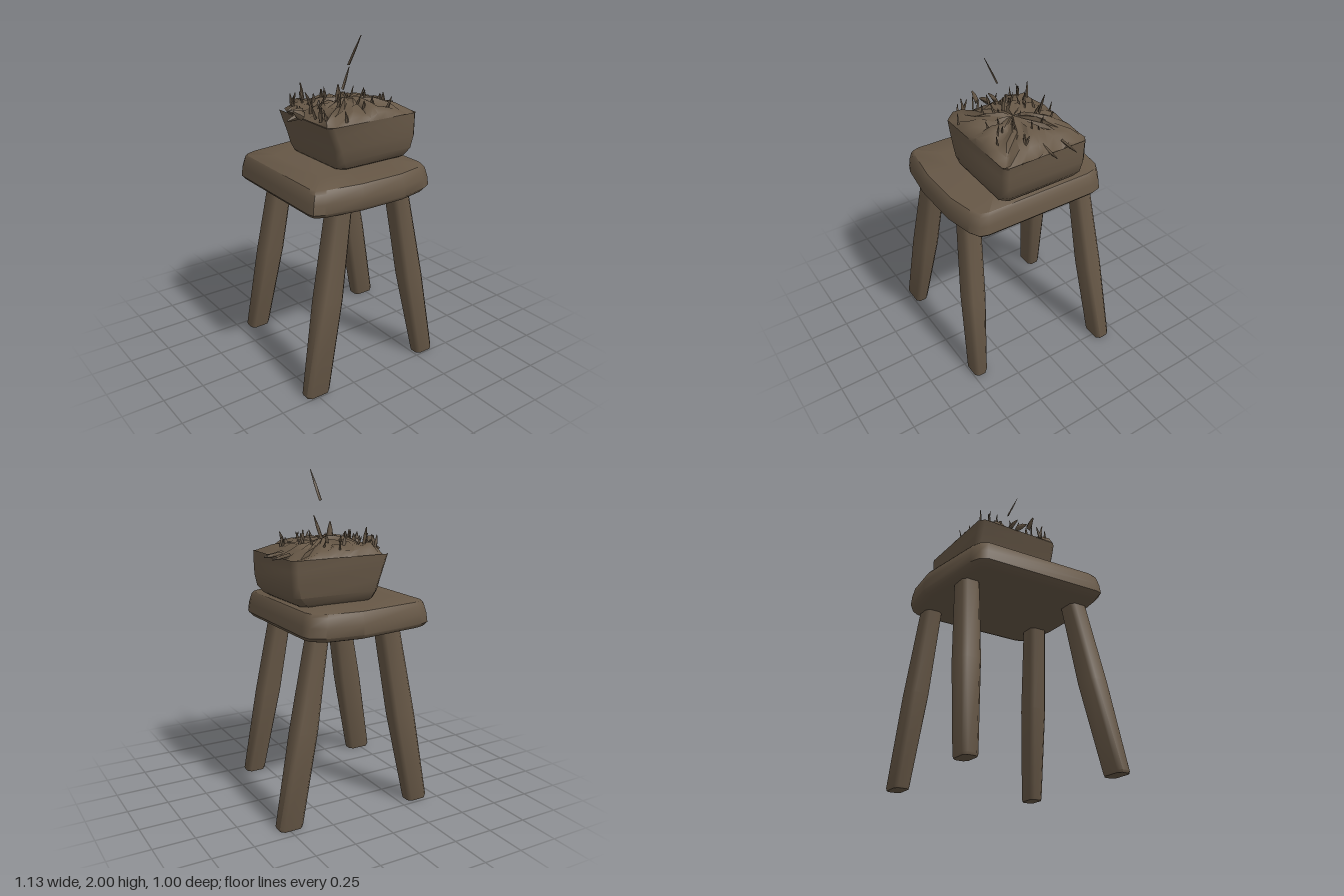
import * as THREE from 'three';
import { mergeVertices, toCreasedNormals } from 'three/addons/utils/BufferGeometryUtils.js';

const wood = new THREE.MeshStandardMaterial({ color: 0x665746 });
wood.name = 'weathered brown';

// Small seeded generator for the rough details
function seeded(seed) {
  return () => {
    seed = (seed * 16807) % 2147483647;
    return seed / 2147483647;
  };
}

// Closed skin through rings of equal length; rings run clockwise seen from above
function loft(rings, crease) {
  const pos = [];
  const same = (p, q) => p.every((v, i) => Math.abs(v - q[i]) < 1e-6);
  const tri = (a, b, c) => {
    if (!same(a, b) && !same(b, c) && !same(a, c)) pos.push(...a, ...b, ...c);
  };
  for (let r = 0; r < rings.length - 1; r++) {
    const lo = rings[r], hi = rings[r + 1], n = lo.length;
    for (let i = 0; i < n; i++) {
      const j = (i + 1) % n;
      tri(lo[i], hi[i], lo[j]);
      tri(lo[j], hi[i], hi[j]);
    }
  }
  const g = new THREE.BufferGeometry();
  g.setAttribute('position', new THREE.Float32BufferAttribute(pos, 3));
  return toCreasedNormals(mergeVertices(g), crease);
}

// Scale an [x, z] outline about a centre and lift it to height y
const ringAt = (outline, y, sx, sz = sx, cx = 0, cz = 0) =>
  outline.map(([x, z]) => [cx + (x - cx) * sx, y, cz + (z - cz) * sz]);

// Split every outline edge into pieces no longer than step
function subdivide(outline, step) {
  const out = [];
  outline.forEach(([x, z], i) => {
    const [x2, z2] = outline[(i + 1) % outline.length];
    const n = Math.ceil(Math.hypot(x2 - x, z2 - z) / step);
    for (let k = 0; k < n; k++) out.push([x + (x2 - x) * k / n, z + (z2 - z) * k / n]);
  });
  return out;
}

// Rectangle with cut corners
function chamfered(x0, x1, z0, z1, c) {
  return [
    [x0, z0 + c], [x0 + c, z0], [x1 - c, z0], [x1, z0 + c],
    [x1, z1 - c], [x1 - c, z1], [x0 + c, z1], [x0, z1 - c],
  ];
}

// Thin pointed shard from base to tip
function shard(name, base, tip, width) {
  const a = new THREE.Vector3(...base), b = new THREE.Vector3(...tip);
  const dir = b.clone().sub(a), len = dir.length();
  const g = new THREE.CylinderGeometry(width * 0.15, width * 0.6, len, 4, 2);
  const p = g.attributes.position;
  for (let i = 0; i < p.count; i++) {
    const mid = Math.abs(p.getY(i)) < 1e-4 ? 1.5 : 1;
    p.setXYZ(i, p.getX(i) * mid, p.getY(i), p.getZ(i) * mid * 0.5);
  }
  g.computeVertexNormals();
  const m = new THREE.Mesh(g, wood);
  m.name = name;
  m.position.copy(a).add(b).multiplyScalar(0.5);
  m.quaternion.setFromUnitVectors(new THREE.Vector3(0, 1, 0), dir.normalize());
  return m;
}

export function createModel() {
  const model = new THREE.Group();
  model.name = 'stool with planter';
  const add = (name, geometry, parent = model) => {
    const m = new THREE.Mesh(geometry, wood);
    m.name = name;
    parent.add(m);
    return m;
  };

  // Splayed legs: foot and top rectangles as [x0, x1, z0, z1]
  const legs = [
    ['frontRightLeg', [-0.57, -0.41, 0.405, 0.495], [-0.33, -0.20, 0.31, 0.43]],
    ['frontLeftLeg', [0.26, 0.39, 0.405, 0.495], [0.08, 0.20, 0.31, 0.43]],
    ['backRightLeg', [-0.44, -0.30, -0.48, -0.385], [-0.26, -0.125, -0.40, -0.285]],
    ['backLeftLeg', [0.41, 0.56, -0.45, -0.35], [0.20, 0.315, -0.39, -0.28]],
  ];
  for (const [name, foot, top] of legs) {
    const rings = [];
    for (const [t, y] of [[0, 0], [0, 0.015], [0.5, 0.56], [1, 1.14]]) {
      const bow = t === 0.5 ? 0.008 : 0;
      const r = foot.map((v, i) => v + (top[i] - v) * t + (i % 2 ? bow : -bow));
      const ring = ringAt(chamfered(...r, 0.022), y, 1);
      if (y === 0) {
        const c = [(r[0] + r[1]) / 2, 0, (r[2] + r[3]) / 2];
        rings.push(ring.map(() => c));
        rings.push(ring.map(([x, , z]) => [c[0] + (x - c[0]) * 0.93, 0, c[2] + (z - c[2]) * 0.93]));
      } else rings.push(ring);
    }
    add(name, loft(rings, 0.9));
  }

  // Thick irregular seat slab with softened edges
  const seat = [
    [-0.475, -0.37], [-0.45, -0.41], [-0.39, -0.435], [0.05, -0.5], [0.28, -0.475], [0.36, -0.42],
    [0.375, -0.36], [0.37, 0.37], [0.355, 0.42], [0.29, 0.455], [0.12, 0.49],
    [-0.18, 0.49], [-0.42, 0.455], [-0.48, 0.43], [-0.49, 0.39],
  ];
  const seatRing = (y, s, sz) => ringAt(seat, y, s, sz, -0.05, 0);
  add('seat', loft([
    seatRing(1.08, 0), seatRing(1.08, 0.88, 0.9), seatRing(1.09, 0.95, 0.96), seatRing(1.115, 1),
    seatRing(1.17, 0.985, 0.99), seatRing(1.225, 0.95, 0.965), seatRing(1.243, 0.92, 0.935),
    seatRing(1.253, 0.6), seatRing(1.255, 0),
  ], 0.8));

  // Planter box, leaning out on its right side
  const box = (y, x0, x1, z0, z1, c) => ringAt(chamfered(x0, x1, z0, z1, c), y, 1);
  add('planterBox', loft([
    box(1.25, -0.16, 0.31, -0.25, 0.23, 0.04), box(1.265, -0.175, 0.335, -0.27, 0.255, 0.04),
    box(1.31, -0.19, 0.37, -0.285, 0.27, 0.035), box(1.38, -0.205, 0.382, -0.29, 0.275, 0.03),
    box(1.46, -0.235, 0.385, -0.29, 0.275, 0.03), box(1.525, -0.258, 0.386, -0.29, 0.274, 0.03),
  ], 0.9));

  // Lumpy mound filling the planter
  const rand = seeded(4711);
  const rim = subdivide([
    [-0.258, -0.16], [-0.21, -0.28], [0.35, -0.29], [0.386, -0.26],
    [0.386, 0.25], [0.36, 0.274], [-0.23, 0.274], [-0.258, 0.245],
  ], 0.07);
  const heights = [[1, 1.52], [0.93, 1.545], [0.78, 1.57], [0.6, 1.585], [0.4, 1.595], [0.2, 1.6], [0, 1.605]];
  const mound = heights.map(([s, y]) => ringAt(rim, y, s, s, 0.05, 0).map(([x, h, z]) => {
    if (s === 1 || s === 0) return [x, h, z];
    const jitter = () => (rand() - 0.5) * 0.025;
    return [x + jitter(), h + (rand() - 0.5) * 0.04 - Math.max(0, x - 0.12) * 0.12, z + jitter()];
  }));
  add('mound', loft(mound, 1.0));

  // Short sprigs scattered over the mound, denser towards its right side
  const sprigs = new THREE.Group();
  sprigs.name = 'sprigs';
  for (let i = 0; i < 46; i++) {
    const x = -0.25 + Math.pow(rand(), 1.3) * 0.55, z = -0.26 + rand() * 0.52;
    const edge = Math.max(Math.abs(x - 0.05) / 0.32, Math.abs(z) / 0.28);
    const y = 1.58 - 0.05 * edge * edge;
    const h = 0.04 + rand() * 0.045;
    sprigs.add(shard('sprig', [x, y, z],
      [x + (rand() - 0.5) * 0.05, y + h, z + (rand() - 0.5) * 0.05], 0.012 + rand() * 0.014));
  }
  model.add(sprigs);

  // Larger individual shards, with one hovering above
  const large = [
    ['hoveringShard', [0.01, 1.82, 0.08], [0.03, 2.0, 0.17], 0.017],
    ['tallSprig', [0.12, 1.62, -0.13], [0.17, 1.755, -0.13], 0.018],
    ['centreStub', [-0.02, 1.59, 0.02], [-0.022, 1.695, 0.02], 0.035],
    ['centreSprig', [-0.12, 1.58, -0.21], [-0.13, 1.68, -0.22], 0.02],
    ['frontSprig', [0.2, 1.55, 0.2], [0.22, 1.63, 0.22], 0.02],
    ['sideSprig', [0.3, 1.53, -0.03], [0.44, 1.52, -0.03], 0.026],
    ['sideSprig', [0.33, 1.54, -0.14], [0.45, 1.52, -0.155], 0.018],
    ['rimLeaf', [-0.24, 1.55, -0.02], [-0.35, 1.52, -0.02], 0.035],
    ['rimLeaf', [-0.28, 1.55, 0.04], [-0.345, 1.59, 0.035], 0.045],
    ['rimLeaf', [-0.22, 1.55, -0.06], [-0.31, 1.56, -0.06], 0.035],
    ['rimLeaf', [-0.21, 1.55, -0.14], [-0.27, 1.54, -0.15], 0.03],
  ];
  for (const args of large) model.add(shard(...args));

  return model;
}
